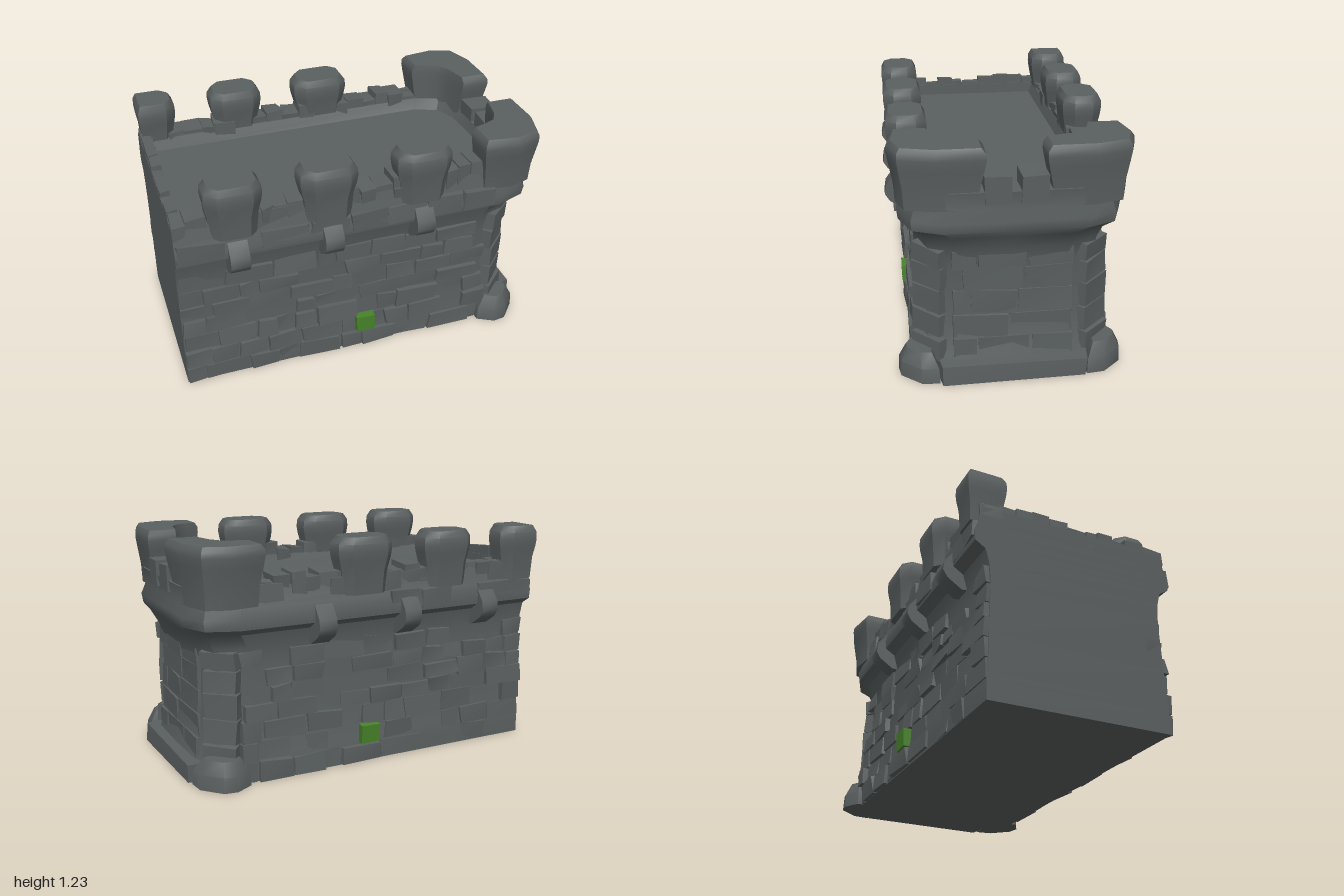
import * as THREE from 'three';
import { mergeGeometries, toCreasedNormals } from 'three/addons/utils/BufferGeometryUtils.js';

const V2 = (x, z) => new THREE.Vector2(x, z);

// Small seeded random source
let seed = 7;
function rnd(a = 0, b = 1) {
  seed = (seed * 16807) % 2147483647;
  return a + (b - a) * (seed / 2147483647);
}

// Skin a stack of horizontal outlines [{ y, pts }] and cap both ends
function loft(rings, crease = 0.7) {
  const n = rings[0].pts.length, pos = [], idx = [];
  for (const r of rings) {
    const pts = THREE.ShapeUtils.area(r.pts) < 0 ? [...r.pts].reverse() : r.pts;
    for (const p of pts) pos.push(p.x, r.y, p.y);
    r.pts = pts;
  }
  for (let k = 0; k < rings.length - 1; k++)
    for (let i = 0; i < n; i++) {
      const a = k * n + i, b = k * n + (i + 1) % n;
      idx.push(a, a + n, b, b, a + n, b + n);
    }
  const top = (rings.length - 1) * n;
  for (const [a, b, c] of THREE.ShapeUtils.triangulateShape(rings[0].pts, [])) idx.push(a, b, c);
  for (const [a, b, c] of THREE.ShapeUtils.triangulateShape(rings.at(-1).pts, [])) idx.push(top + a, top + c, top + b);
  const g = new THREE.BufferGeometry();
  g.setAttribute('position', new THREE.Float32BufferAttribute(pos, 3));
  g.setIndex(idx);
  return toCreasedNormals(g, crease);
}

// Wall plan: flat cut end at x = w, rounded end at x = e, half depth d
function plan(d, e, w = -1, c = 0.2) {
  const half = [[w, d], [e - c * 1.1, d], [e - c * 0.3, d - c * 0.3], [e, d - c]];
  return [...half, [e + 0.005, 0], ...half.slice().reverse().map(([x, z]) => [x, -z])].map(([x, z]) => V2(x, z));
}

// Roughly cut stone; its outer face centre sits at (x, y, z), turned by ry
function stone(x, y, z, w, h, depth, ry, rough = 0.009) {
  const g = new THREE.BoxGeometry(w, h, depth), p = g.attributes.position;
  const shift = Array.from({ length: 8 }, () => [rnd(-rough, rough), rnd(-rough, rough), rnd(-rough, rough)]);
  for (let i = 0; i < p.count; i++) {
    const s = shift[(p.getX(i) > 0) + 2 * (p.getY(i) > 0) + 4 * (p.getZ(i) > 0)];
    const taper = p.getZ(i) > 0 ? 0.95 : 1;
    p.setXYZ(i, p.getX(i) * taper + s[0], p.getY(i) * taper + s[1], p.getZ(i) - depth / 2 + s[2]);
  }
  g.rotateY(ry).translate(x, y, z);
  for (let i = 0; i < p.count; i++) p.setXY(i, Math.max(-1, p.getX(i)), Math.max(0, p.getY(i)));
  g.computeVertexNormals();
  return g;
}

// Profile of the outer wall: height, half depth, rounded end position
const PROFILE = [
  [0, 0.487, 0.93], [0.1, 0.487, 0.92], [0.14, 0.48, 0.9], [0.33, 0.475, 0.885], [0.6, 0.465, 0.88],
  [0.7, 0.472, 0.905], [0.775, 0.492, 0.945], [0.81, 0.545, 0.968], [0.86, 0.55, 0.975], [0.92, 0.53, 0.955], [1.01, 0.51, 0.97],
];
function wallAt(y) {
  const i = Math.max(1, PROFILE.findIndex((p) => p[0] >= y));
  const a = PROFILE[i - 1], b = PROFILE[i], t = (y - a[0]) / (b[0] - a[0]);
  return { d: a[1] + (b[1] - a[1]) * t, e: a[2] + (b[2] - a[2]) * t };
}

// Block from a plan outline, scaled about its middle at each [height, scale]
function block(pts, levels) {
  const c = pts.reduce((s, p) => s.add(p), V2(0, 0)).divideScalar(pts.length);
  return loft(levels.map(([y, s]) => ({ y, pts: pts.map((p) => p.clone().sub(c).multiplyScalar(s).add(c)) })), 0.75);
}
const MERLON = [[0.93, 0.8], [1.05, 0.86], [1.11, 0.96], [1.15, 1], [1.19, 0.98], [1.225, 0.82]];
const CORNER = [[0.92, 0.84], [1.02, 0.87], [1.12, 0.96], [1.17, 1], [1.2, 0.99], [1.225, 0.9]];

export function createModel() {
  seed = 7;
  const group = new THREE.Group();
  const grey = new THREE.MeshStandardMaterial({ color: 0x5a5f5f });
  grey.name = 'stone grey';
  const green = new THREE.MeshStandardMaterial({ color: 0x47832a });
  green.name = 'moss green';
  const add = (name, geometry, material = grey) => {
    const mesh = new THREE.Mesh(geometry, material);
    mesh.name = name;
    group.add(mesh);
  };

  // Wall core with parapet rim and sunken walkway
  const rings = PROFILE.map(([y, d, e]) => ({ y, pts: plan(d, e) }));
  rings.push({ y: 1.01, pts: plan(0.395, 0.83, -0.94, 0.17) }, { y: 0.95, pts: plan(0.37, 0.81, -0.94, 0.17) });
  add('wallCore', loft(rings));

  // Courses of stone on the long faces
  const courses = [0, 0.105, 0.21, 0.32, 0.41, 0.5, 0.59, 0.69];
  const faceStones = [];
  for (const side of [1, -1])
    for (let r = 0; r < courses.length - 1; r++) {
      const h = courses[r + 1] - courses[r], y = courses[r] + h / 2, { d, e } = wallAt(y);
      for (let x = -1; x < e - 0.24;) {
        const w = Math.min(rnd(0.1, 0.26), e - 0.16 - x);
        if (rnd() > 0.15)
          faceStones.push(stone(x + w / 2, y, side * (d + rnd(0.002, 0.028)), w, h * rnd(0.9, 1.04), 0.09, side > 0 ? 0 : Math.PI));
        x += w;
      }
    }
  add('faceStones', mergeGeometries(faceStones));

  // Low relief stones on the parapet band
  const parapetStones = [];
  for (const side of [1, -1])
    for (const [y, h] of [[0.88, 0.1], [0.98, 0.1]])
      for (let x = -1; x < 0.7;) {
        const w = rnd(0.13, 0.28);
        if (rnd() > 0.3)
          parapetStones.push(stone(x + w / 2, y, side * (wallAt(y).d + rnd(0.002, 0.016)), w, h, 0.06, side > 0 ? 0 : Math.PI));
        x += w;
      }
  add('parapetStones', mergeGeometries(parapetStones));

  // Broad slabs on the rounded end, quoins on its corners, a plinth slab below
  const endStones = [];
  const slabs = [0.1, 0.21, 0.34, 0.47, 0.59, 0.69];
  for (let r = 0; r < slabs.length - 1; r++) {
    const h = slabs[r + 1] - slabs[r], y = slabs[r] + h / 2, { d, e } = wallAt(y);
    for (let z = -0.3; z < 0.24;) {
      const w = Math.min(rnd(0.2, 0.4), 0.3 - z);
      endStones.push(stone(e + rnd(0.002, 0.012), y, z + w / 2, w, h, 0.06, Math.PI / 2, 0.006));
      z += w;
    }
    for (const side of [1, -1]) {
      const turn = Math.PI / 2 - side * Math.PI / 4;
      endStones.push(stone(e - 0.06, y, side * (d - 0.045), 0.19, h * 0.98, 0.09, turn, 0.008));
    }
  }
  endStones.push(stone(0.98, 0.052, 0, 0.76, 0.104, 0.12, Math.PI / 2, 0.006));
  add('endStones', mergeGeometries(endStones));

  // Sloping foot blocks at the rounded end's corners
  const foot = [[0.7, 0.42], [0.7, 0.52], [0.79, 0.57], [0.86, 0.56], [0.95, 0.46], [0.96, 0.37], [0.8, 0.37]];
  for (const side of [1, -1])
    add('cornerFoot', block(foot.map(([x, z]) => V2(x, side * z)), [[0, 1], [0.08, 0.96], [0.15, 0.62]]));

  // Corbels under the overhang
  const corbels = [];
  for (const side of [1, -1])
    for (const x of [-0.69, -0.2, 0.3]) {
      const w = 0.05;
      const ring = (y, z) => ({ y, pts: [V2(x - w, side * 0.44), V2(x + w, side * 0.44), V2(x + w, side * z), V2(x - w, side * z)] });
      corbels.push(loft([ring(0.69, 0.5), ring(0.74, 0.575), ring(0.78, 0.6), ring(0.83, 0.592), ring(0.9, 0.54)], 0.9));
    }
  add('corbels', mergeGeometries(corbels));

  // Uneven coping between the battlements and along both ends
  const coping = [];
  for (const side of [1, -1])
    for (let x = -1; x < 0.64;) {
      const w = rnd(0.06, 0.12), top = rnd(1.03, 1.085);
      coping.push(stone(x + w / 2, (top + 0.96) / 2, side * rnd(0.505, 0.525), w, top - 0.96, 0.12, side > 0 ? 0 : Math.PI));
      x += w;
    }
  for (let z = -0.42; z < 0.38;) {
    const w = rnd(0.06, 0.11), top = rnd(1.02, 1.07);
    coping.push(stone(-1, (top + 0.94) / 2, z + w / 2, w, top - 0.94, 0.055, -Math.PI / 2, 0.005));
    z += w;
  }
  for (const side of [1, -1]) coping.push(stone(0.98, 1.02, side * 0.085, 0.13, 0.14, 0.15, Math.PI / 2, 0.005));
  add('coping', mergeGeometries(coping));

  // Battlements, staggered front to back: [side, start x, end x]
  const spans = [[1, -0.84, -0.55], [1, -0.36, -0.06], [1, 0.15, 0.45], [-1, -1, -0.79], [-1, -0.59, -0.3], [-1, -0.1, 0.21]];
  for (const [side, a, b] of spans) {
    const i = 0.375, o = 0.585, k = 0.055, ka = a === -1 ? 0.001 : k;
    const pts = [[a, i + k], [a + ka, i], [b - k, i], [b, i + k], [b, o - k], [b - k, o], [a + ka, o], [a, o - k]];
    add('battlement', block(pts.map(([x, z]) => V2(x, side * z)), MERLON));
  }

  // Corner battlements wrapping the rounded end
  const corner = [[0.62, 0.4], [0.62, 0.565], [0.8, 0.59], [0.935, 0.545], [0.985, 0.38], [0.985, 0.14],
    [0.83, 0.14], [0.8, 0.28], [0.76, 0.35], [0.69, 0.38]];
  for (const side of [1, -1]) add('cornerBattlement', block(corner.map(([x, z]) => V2(x, side * z)), CORNER));

  // One mossy stone on each long face
  for (const side of [1, -1])
    add('mossyStone', stone(0.005, 0.16, side * 0.52, 0.11, 0.105, 0.06, side > 0 ? 0 : Math.PI, 0.004), green);

  return group;
}
